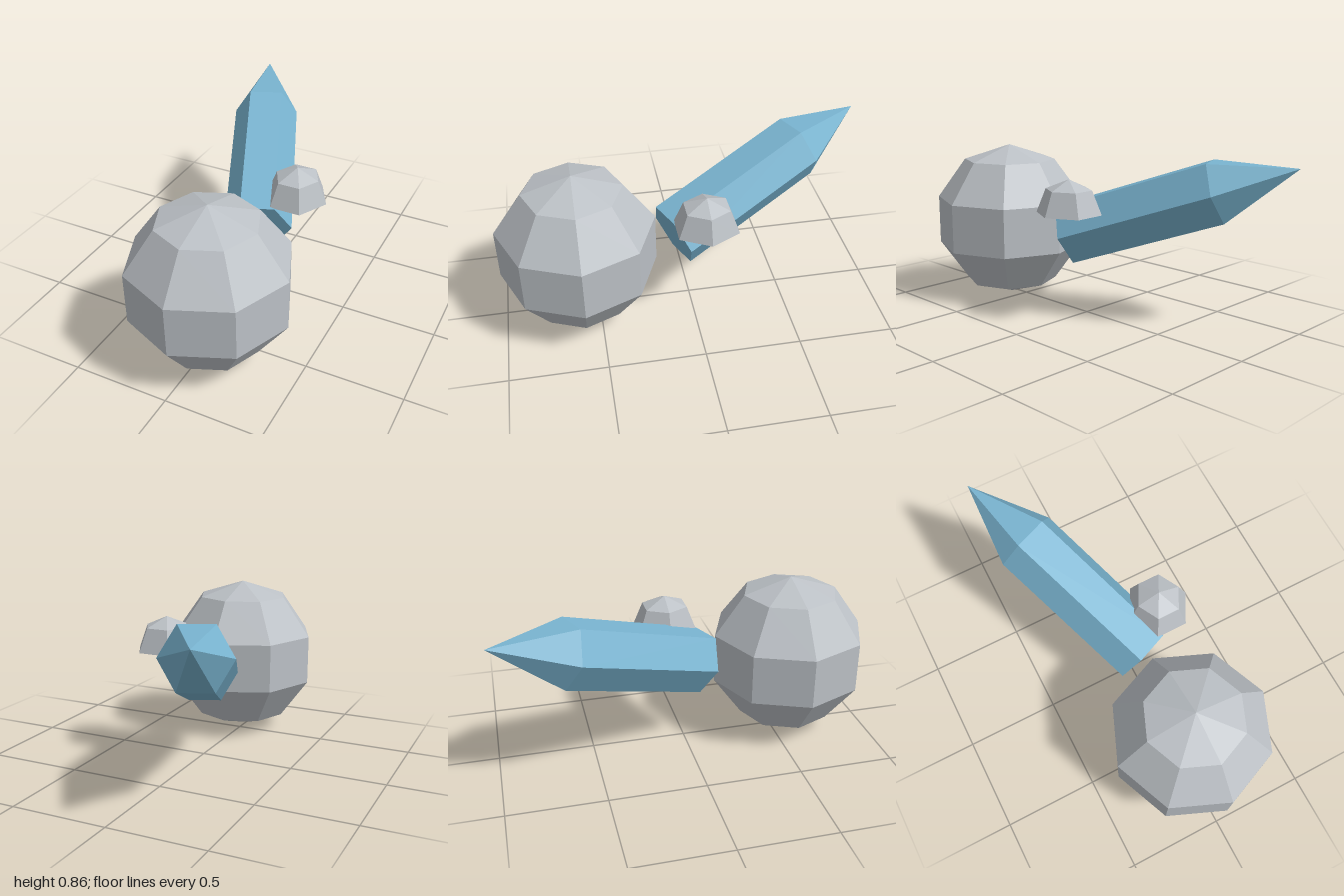
import * as THREE from 'three';

const stone = new THREE.MeshStandardMaterial({ name: 'paleGreyStone', color: 0xbcc1c6, flatShading: true });
const ice = new THREE.MeshStandardMaterial({ name: 'iceBlue', color: 0x79b4d0, flatShading: true });

// Six-sided faceted solid turned from a short profile, with a corner on the x axis
function hexLathe(profile) {
  const points = profile.map(([r, y]) => new THREE.Vector2(r, y));
  return new THREE.LatheGeometry(points, 6, Math.PI / 2);
}

function addPart(group, name, geometry, material, position) {
  const mesh = new THREE.Mesh(geometry, material);
  mesh.name = name;
  mesh.position.set(...position);
  group.add(mesh);
  return mesh;
}

export function createModel() {
  const group = new THREE.Group();
  group.name = 'boulderAndCrystal';

  // Large faceted ball at the front
  addPart(group, 'boulder', new THREE.SphereGeometry(0.431, 8, 5), stone, [0.03, 0.431, 0.59]);

  // Small closed half-dome
  const s = Math.SQRT1_2;
  const dome = hexLathe([[0, 0], [1, 0], [s, s], [0, 1]]);
  addPart(group, 'pebbleDome', dome, stone, [0.187, 0.58, -0.057]).scale.set(0.163, 0.175, 0.177);

  // Long crystal shard, tilted from its flat base towards its pointed tip
  const base = new THREE.Vector3(0.033, 0.435, 0.088);
  const tip = new THREE.Vector3(-0.42, 0.843, -1);
  const length = base.distanceTo(tip);
  const shard = hexLathe([[0, 0], [0.176, 0], [0.176, length * 0.674], [0, length]]);
  shard.rotateX(Math.PI / 2);
  addPart(group, 'crystalShard', shard, ice, base.toArray()).lookAt(tip);

  return group;
}
